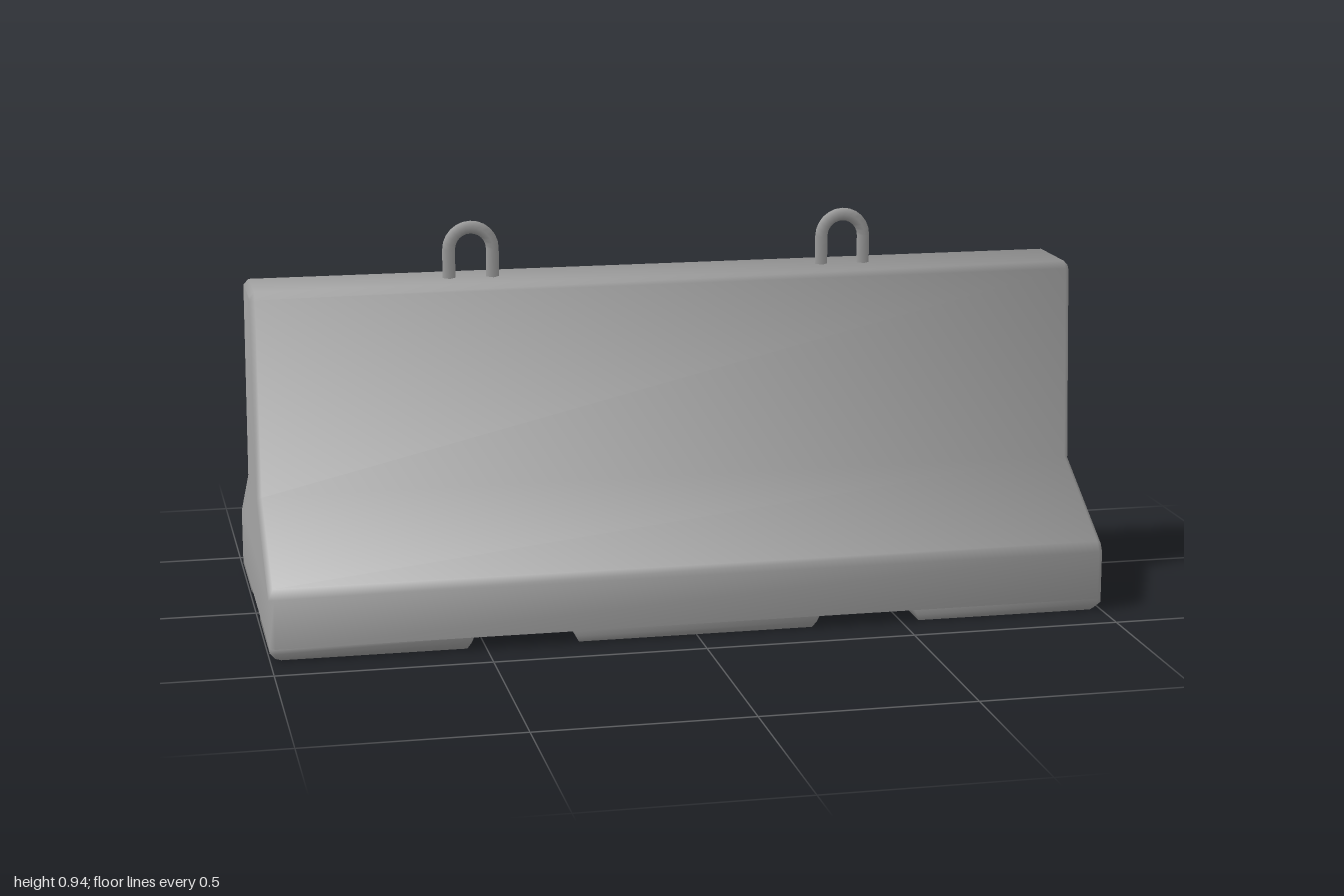
import * as THREE from 'three';
import { toCreasedNormals } from 'three/addons/utils/BufferGeometryUtils.js';

const material = new THREE.MeshStandardMaterial({ color: 0x9e9e9e });
const BEVEL = 0.012;   // chamfer at the two ends
const FLOOR = 0.03;    // height of the channels under the base

function addMesh(parent, name, geometry) {
  const mesh = new THREE.Mesh(geometry, material);
  mesh.name = name;
  parent.add(mesh);
  return mesh;
}

// Barrier profile swept along x, with chamfered ends and soft shading over the folds
function barrierGeometry() {
  const half = [[0.4, FLOOR], [0.4, 0.147], [0.386, 0.17], [0.132, 0.32], [0.1, 0.785], [0.086, 0.802]];
  const mirrored = half.map(([z, y]) => [-z, y]).reverse();
  const shape = new THREE.Shape([...half, ...mirrored].map(([z, y]) => new THREE.Vector2(z, y)));
  const geo = new THREE.ExtrudeGeometry(shape, {
    depth: 2 - 2 * BEVEL, bevelEnabled: true, bevelSegments: 1,
    bevelThickness: BEVEL, bevelSize: BEVEL, bevelOffset: -BEVEL,
  });
  geo.translate(0, 0, BEVEL - 1).rotateY(Math.PI / 2);
  // Keep the underside flat where the feet join it
  const p = geo.attributes.position;
  for (let i = 0; i < p.count; i++) if (p.getY(i) < 0.06) p.setY(i, FLOOR);
  return toCreasedNormals(geo, 1.2);
}

// One foot with sloped sides towards the channels and chamfered outer edges
function footGeometry(x0, x1) {
  const levels = [
    { y: 0, inner: 0.014, outer: 0.014 },
    { y: 0.018, inner: 0.0056, outer: 0 },
    { y: FLOOR, inner: 0, outer: 0 },
  ];
  const rings = levels.map(({ y, inner, outer }) => {
    const a = x0 + (x0 === -1 ? outer : inner);
    const b = x1 - (x1 === 1 ? outer : inner);
    const near = 0.12 + inner, far = 0.4 - outer;
    const ring = [[a, near], [b, near]];
    if (x1 === 1) ring.push([b, far - BEVEL], [b - BEVEL, far]);
    else ring.push([b, far]);
    if (x0 === -1) ring.push([a + BEVEL, far], [a, far - BEVEL]);
    else ring.push([a, far]);
    return ring.map(([x, z]) => [x, y, z]);
  });
  const n = rings[0].length, index = [];
  for (let i = 1; i < n - 1; i++) index.push(0, i, i + 1);
  for (let r = 0; r < rings.length - 1; r++) {
    for (let i = 0; i < n; i++) {
      const a = r * n + i, b = r * n + (i + 1) % n;
      index.push(a, a + n, b, b, a + n, b + n);
    }
  }
  const geo = new THREE.BufferGeometry();
  geo.setAttribute('position', new THREE.Float32BufferAttribute(rings.flat(2), 3));
  geo.setIndex(index);
  return toCreasedNormals(geo, 1.6);
}

// U-shaped lifting loop of four-sided bar
function liftingLoop(x) {
  const loop = new THREE.Group();
  loop.name = 'liftingLoop';
  const radius = 0.0525, bar = 0.0155, archY = 0.87, footY = 0.78;
  addMesh(loop, 'loopArch', new THREE.TorusGeometry(radius, bar, 4, 12, Math.PI)).position.y = archY;
  for (const side of [-1, 1]) {
    const leg = addMesh(loop, 'loopLeg', new THREE.CylinderGeometry(bar, bar, archY - footY, 4));
    leg.position.set(side * radius, (archY + footY) / 2, 0);
  }
  loop.position.x = x;
  return loop;
}

export function createModel() {
  const model = new THREE.Group();
  model.name = 'concreteBarrier';

  addMesh(model, 'barrierBody', barrierGeometry());

  // Six feet, three on each side of the lengthwise channel
  for (const [name, turn] of [['frontFeet', 0], ['backFeet', Math.PI]]) {
    const row = new THREE.Group();
    row.name = name;
    row.rotation.y = turn;
    for (const [x0, x1] of [[-1, -0.53], [-0.295, 0.295], [0.53, 1]]) {
      addMesh(row, 'foot', footGeometry(x0, x1));
    }
    model.add(row);
  }

  for (const x of [-0.467, 0.448]) model.add(liftingLoop(x));
  return model;
}
